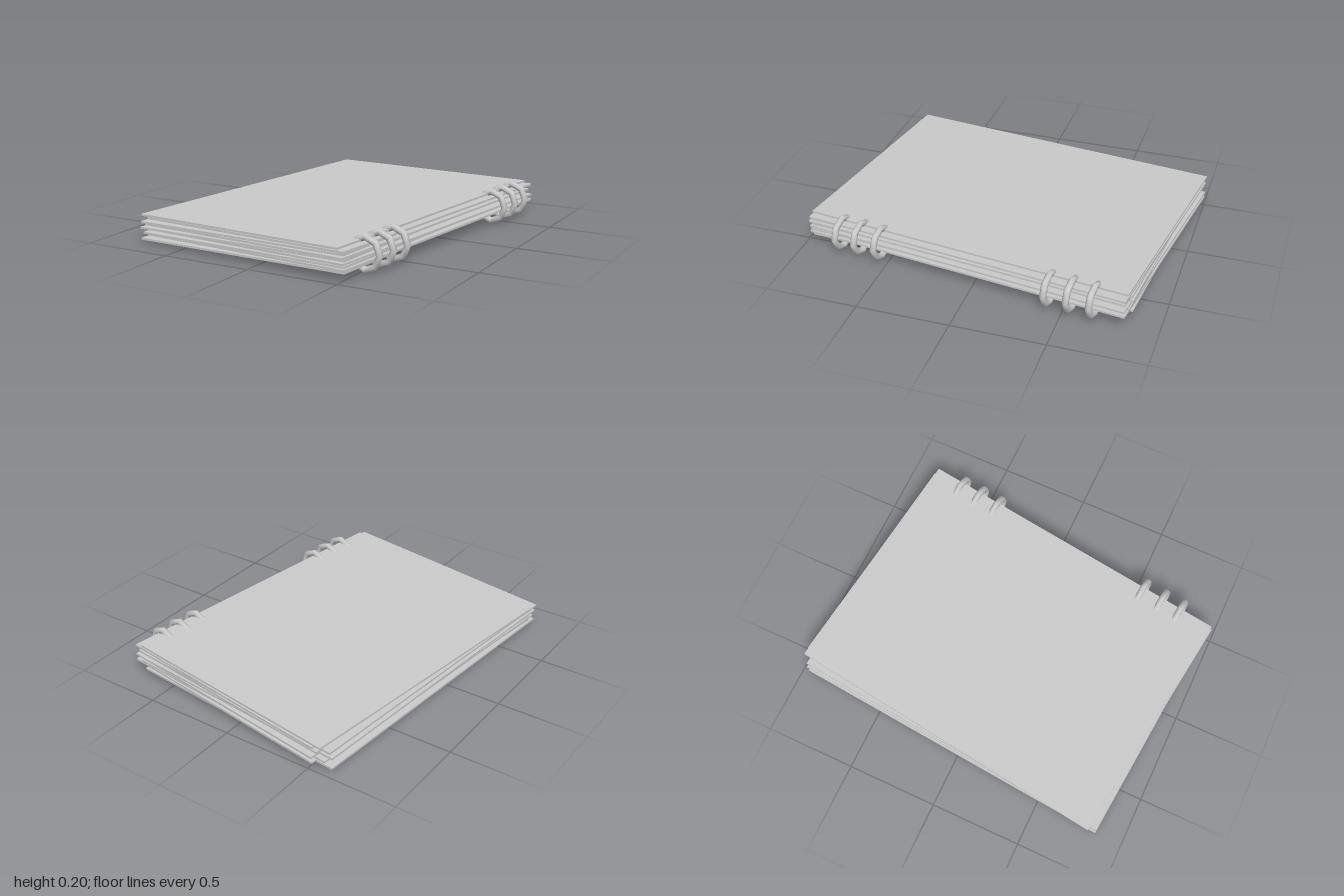
import * as THREE from 'three';

const material = new THREE.MeshStandardMaterial({ color: 0xcccccc, side: THREE.DoubleSide });
const deg = THREE.MathUtils.degToRad;

// Loose sheets, bottom to top: [turn in degrees, x, z]
const SHEETS = [
  [5.0, -0.05, 0],
  [7.6, 0.0, -0.01],
  [6.0, -0.03, 0],
  [7.8, 0.0, -0.01],
  [5.0, -0.05, 0],
  [7.2, -0.01, 0],
  [5.4, -0.045, 0],
  [7.6, 0.0, -0.01],
  [7.3, -0.04, -0.01],
];

// Ring centres along the bound edge: [x, z]
const RINGS = [
  [0.71, -0.66], [0.698, -0.54], [0.683, -0.42],
  [0.563, 0.545], [0.548, 0.665], [0.533, 0.78],
];

// Open octagonal ring with rounded ends
function makeRing() {
  const R = 0.083, r = 0.018, arc = Math.PI * 1.5;
  const ring = new THREE.Group();
  const loop = new THREE.Mesh(new THREE.TorusGeometry(R, r, 10, 6, arc), material);
  loop.name = 'ringLoop';
  loop.rotation.z = -arc / 2;
  ring.add(loop);
  for (const side of [-1, 1]) {
    const a = side * arc / 2;
    const end = new THREE.Mesh(new THREE.SphereGeometry(r, 10, 6), material);
    end.name = 'ringEnd';
    end.position.set(R * Math.cos(a), R * Math.sin(a), 0);
    ring.add(end);
  }
  return ring;
}

export function createModel() {
  const notebook = new THREE.Group();
  notebook.name = 'notebook';

  // Stack of sheets, leaning up slightly towards the rings
  const stack = new THREE.Group();
  stack.name = 'sheetStack';
  stack.position.y = 0.098;
  stack.rotation.z = deg(1.25);
  const pitch = 0.0148;
  const sheetGeometry = new THREE.BoxGeometry(1.3, 0.011, 1.82);
  SHEETS.forEach(([turn, x, z], i) => {
    const cover = i === 0 || i === SHEETS.length - 1;
    const sheet = new THREE.Mesh(sheetGeometry, material);
    sheet.name = cover ? 'cover' : 'page';
    sheet.position.set(x, (i - (SHEETS.length - 1) / 2) * pitch, z);
    sheet.rotation.y = -deg(turn);
    stack.add(sheet);
  });
  notebook.add(stack);

  // Two groups of three binding rings
  for (const [x, z] of RINGS) {
    const ring = makeRing();
    ring.name = 'bindingRing';
    ring.position.set(x, 0.104, z);
    ring.rotation.y = -deg(7);
    notebook.add(ring);
  }
  return notebook;
}
